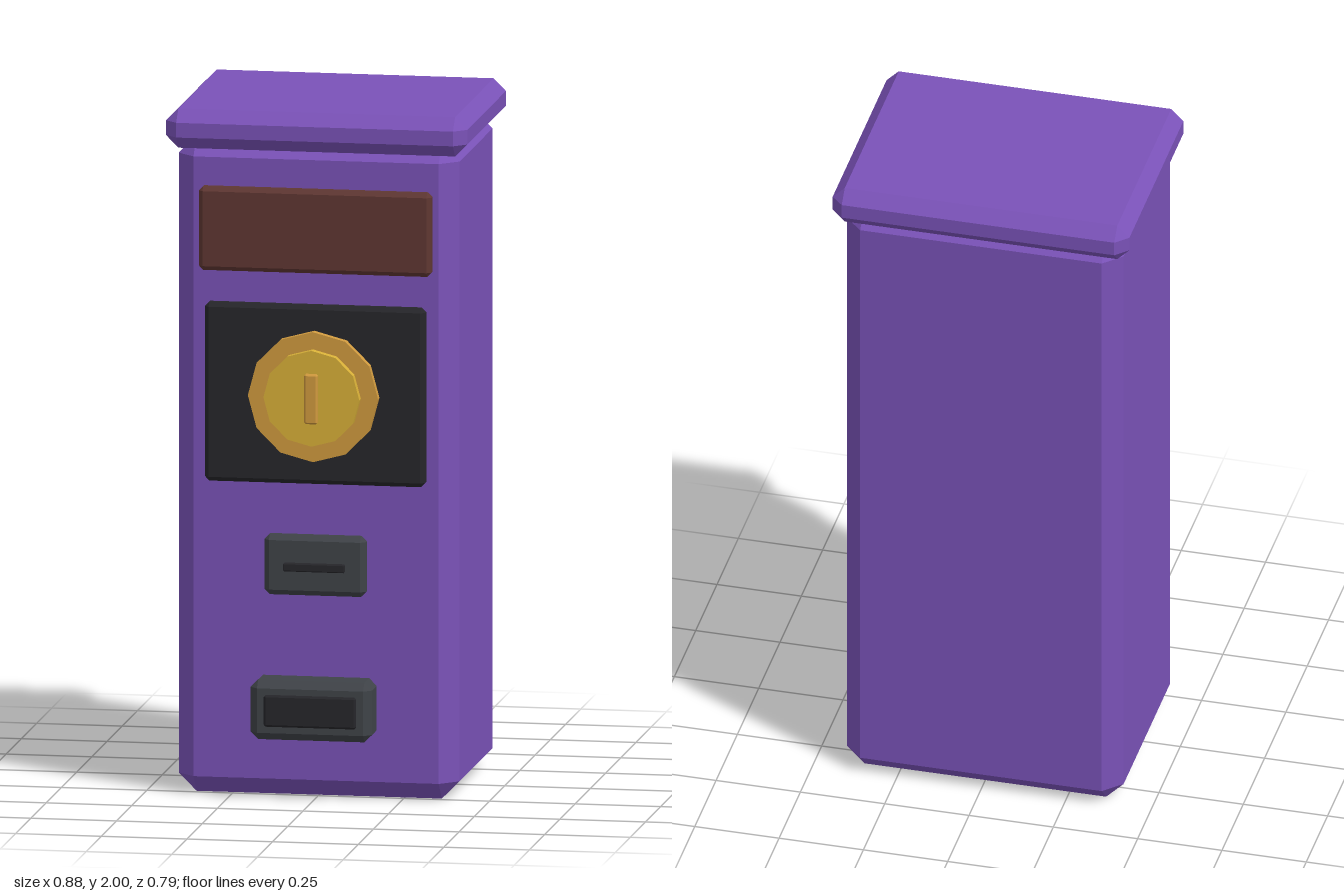
import * as THREE from 'three';
import { ConvexGeometry } from 'three/addons/geometries/ConvexGeometry.js';

const material = (color) => new THREE.MeshStandardMaterial({ color, flatShading: true });

// Box given by its limits, with every edge cut at 45 degrees by c.
function chamferBox(name, mat, [x0, x1], [y0, y1], [z0, z1], c) {
  const half = [(x1 - x0) / 2, (y1 - y0) / 2, (z1 - z0) / 2];
  const points = [];
  for (const sx of [-1, 1]) for (const sy of [-1, 1]) for (const sz of [-1, 1]) {
    for (let axis = 0; axis < 3; axis++) {
      const p = half.map((h, i) => (i === axis ? h : h - c));
      points.push(new THREE.Vector3(p[0] * sx, p[1] * sy, p[2] * sz));
    }
  }
  const mesh = new THREE.Mesh(new ConvexGeometry(points), mat);
  mesh.name = name;
  mesh.position.set((x0 + x1) / 2, (y0 + y1) / 2, (z0 + z1) / 2);
  return mesh;
}

// Twelve-sided disc facing the front, with a corner pointing sideways.
function disc(name, mat, radius, y, z0, z1) {
  const geometry = new THREE.CylinderGeometry(radius, radius, z1 - z0, 12);
  geometry.rotateX(Math.PI / 2);
  const mesh = new THREE.Mesh(geometry, mat);
  mesh.name = name;
  mesh.position.set(0, y, (z0 + z1) / 2);
  return mesh;
}

export function createModel() {
  const purple = material(0x7a52b8);
  const brown = material(0x5f3732);
  const black = material(0x26262a);
  const grey = material(0x3f4348);
  const amber = material(0xd09a3e);
  const gold = material(0xd8b038);

  const model = new THREE.Group();
  model.name = 'coinMachine';
  model.add(
    // Cabinet and overhanging lid
    chamferBox('cabinet', purple, [-0.41, 0.41], [0, 1.915], [-0.36, 0.285], 0.052),
    chamferBox('lid', purple, [-0.44, 0.44], [1.885, 2], [-0.395, 0.31], 0.036),

    // Sign and dial panel
    chamferBox('signPlate', brown, [-0.34, 0.34], [1.535, 1.78], [0.25, 0.312], 0.013),
    chamferBox('dialPanel', black, [-0.322, 0.322], [0.92, 1.443], [0.25, 0.312], 0.013),

    // Stepped round dial with its turning handle
    disc('dialRing', amber, 0.19, 1.18, 0.28, 0.337),
    disc('dialFace', gold, 0.14, 1.18, 0.3, 0.363),
    chamferBox('dialHandle', amber, [-0.02, 0.02], [1.107, 1.253], [0.335, 0.376], 0.005),

    // Coin slot
    chamferBox('coinPlate', grey, [-0.149, 0.149], [0.593, 0.77], [0.25, 0.312], 0.016),
    chamferBox('coinSlot', black, [-0.09, 0.09], [0.666, 0.69], [0.29, 0.327], 0.003),

    // Dispensing tray
    chamferBox('trayHousing', grey, [-0.177, 0.177], [0.181, 0.355], [0.25, 0.385], 0.022),
    chamferBox('trayOpening', black, [-0.135, 0.135], [0.222, 0.315], [0.35, 0.393], 0.006),
  );
  return model;
}
